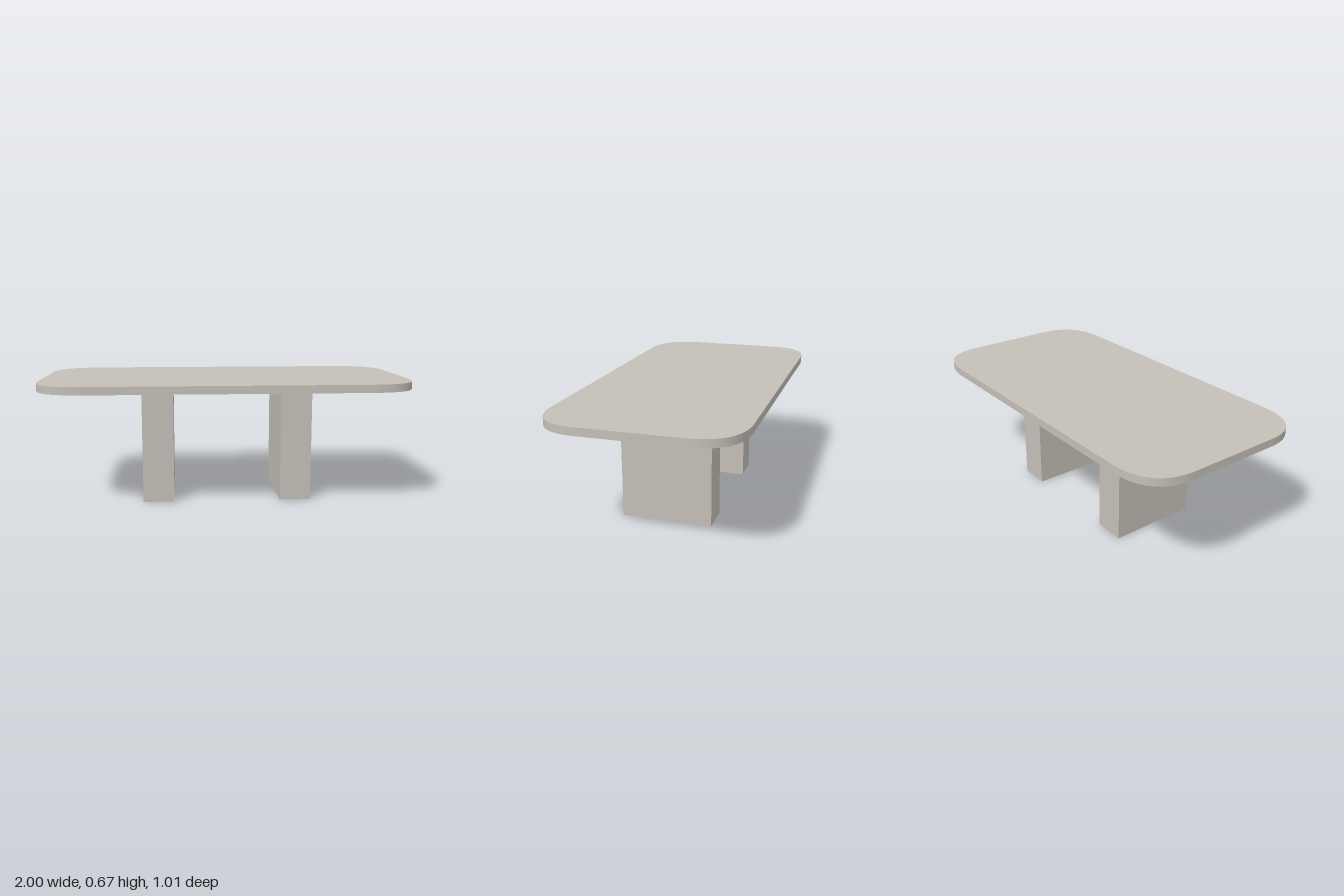
import * as THREE from 'three';
import { toCreasedNormals } from 'three/addons/utils/BufferGeometryUtils.js';

export function createModel() {
  const table = new THREE.Group();
  table.name = 'table';
  const stone = new THREE.MeshStandardMaterial({ color: 0xc4c0b7 });
  stone.name = 'warm grey stone';

  const legHeight = 0.628, topThickness = 0.042;
  const X = 1, Z = 0.505; // half sizes of the top
  const cx = 0.72, cz = 0.25; // where the soft corners begin

  // Table top: rectangle with long, soft corners
  const outline = new THREE.Shape();
  outline.moveTo(X, -cz);
  outline.lineTo(X, cz);
  outline.quadraticCurveTo(X, Z, cx, Z);
  outline.lineTo(-cx, Z);
  outline.quadraticCurveTo(-X, Z, -X, cz);
  outline.lineTo(-X, -cz);
  outline.quadraticCurveTo(-X, -Z, -cx, -Z);
  outline.lineTo(cx, -Z);
  outline.quadraticCurveTo(X, -Z, X, -cz);
  const slab = new THREE.ExtrudeGeometry(outline, {
    depth: topThickness, bevelEnabled: false, curveSegments: 20,
  });
  slab.rotateX(-Math.PI / 2);
  const top = new THREE.Mesh(toCreasedNormals(slab, 0.6), stone);
  top.name = 'tableTop';
  top.position.y = legHeight;
  table.add(top);

  // Two slab legs, set very slightly off centre
  const legGeometry = new THREE.BoxGeometry(0.17, legHeight, 0.495);
  for (const [name, x] of [['leftLeg', 0.385], ['rightLeg', -0.37]]) {
    const leg = new THREE.Mesh(legGeometry, stone);
    leg.name = name;
    leg.position.set(x, legHeight / 2, 0.007);
    table.add(leg);
  }
  return table;
}
